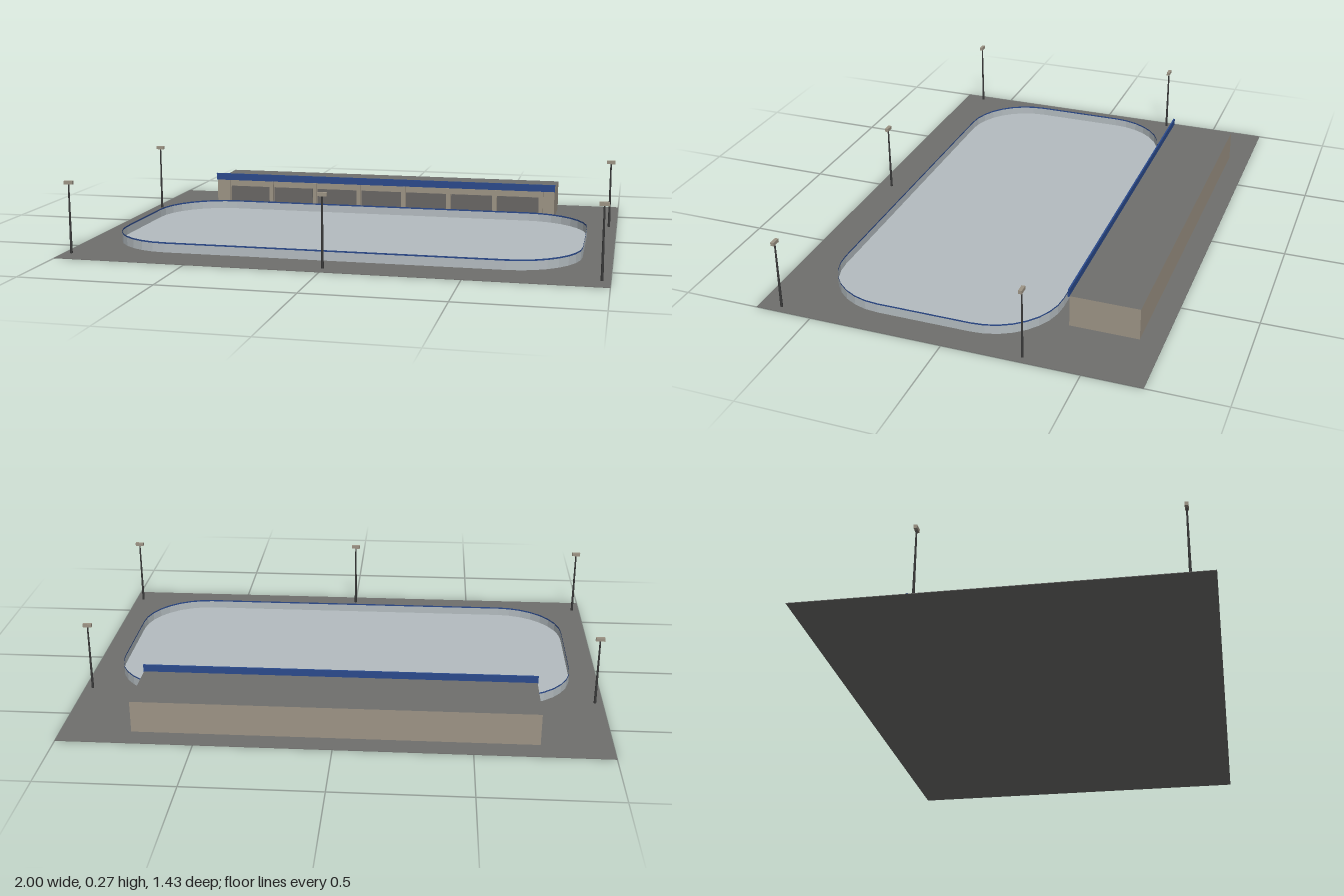
import * as THREE from 'three';

const mat = (name, color, side = THREE.FrontSide) =>
  Object.assign(new THREE.MeshStandardMaterial({ color, side }), { name });

export function createModel() {
  const asphalt = mat('asphalt grey', 0x6f6f6d);
  const ice = mat('pale ice', 0xb4bcc0, THREE.DoubleSide);
  const blue = mat('trim blue', 0x2b4a8c, THREE.DoubleSide);
  const tan = mat('tan wall', 0x9d9485);
  const glass = mat('opening grey', 0x696764);
  const steel = mat('dark steel', 0x3a3a3a);
  ice.flatShading = blue.flatShading = true;

  const model = new THREE.Group();
  model.name = 'iceRink';
  const add = (parent, name, geometry, material, x = 0, y = 0, z = 0) => {
    const mesh = new THREE.Mesh(geometry, material);
    mesh.name = name;
    mesh.position.set(x, y, z);
    parent.add(mesh);
    return mesh;
  };
  const box = (w, h, d) => new THREE.BoxGeometry(w, h, d);

  // Paved ground
  add(model, 'ground', box(2, 0.002, 1.43), asphalt, 0, 0.001, 0);

  // Rounded rink outline, centred on z = 0.113
  const hw = 0.89, hd = 0.433, r = 0.255, cz = 0.113;
  const outline = [];
  [[1, 1], [-1, 1], [-1, -1], [1, -1]].forEach(([sx, sz], q) => {
    for (let i = 0; i <= 8; i++) {
      const a = (q + i / 8) * Math.PI / 2;
      outline.push(new THREE.Vector2(sx * (hw - r) + r * Math.cos(a), sz * (hd - r) + r * Math.sin(a)));
    }
  });
  const surface = new THREE.ShapeGeometry(new THREE.Shape(outline));
  surface.rotateX(-Math.PI / 2);
  add(model, 'iceSurface', surface, ice, 0, 0.005, cz);

  // Upright sheet following the rink outline
  const band = (y0, y1) => {
    const pos = [], idx = [], n = outline.length;
    outline.forEach(p => pos.push(p.x, y0, -p.y, p.x, y1, -p.y));
    for (let i = 0; i < n; i++) {
      const a = 2 * i, b = 2 * ((i + 1) % n);
      idx.push(a, b, b + 1, a, b + 1, a + 1);
    }
    const g = new THREE.BufferGeometry();
    g.setAttribute('position', new THREE.Float32BufferAttribute(pos, 3));
    g.setIndex(idx);
    g.computeVertexNormals();
    return g;
  };
  add(model, 'rinkBoards', band(0.002, 0.035), ice, 0, 0, cz);
  add(model, 'boardTrim', band(0.035, 0.041), blue, 0, 0, cz);

  // Long pavilion behind the rink
  const pavilion = new THREE.Group();
  pavilion.name = 'pavilion';
  model.add(pavilion);
  const front = -0.375;
  add(pavilion, 'pavilionBody', box(1.48, 0.122, 0.255), [tan, tan, asphalt, tan, tan, tan], 0, 0.062, front - 0.1275);
  add(pavilion, 'fascia', box(1.485, 0.029, 0.006), blue, 0, 0.1355, front + 0.003);
  const step = 0.196;
  for (let i = 0; i < 8; i++) {
    const x = (i - 3.5) * step;
    add(pavilion, 'post', box(0.016, 0.119, 0.011), tan, x, 0.0615, front + 0.0065);
    if (i < 7) add(pavilion, 'opening', box(0.174, 0.085, 0.003), glass, x + step / 2, 0.0525, front + 0.001);
  }

  // Floodlights around the rink
  [[-0.97, -0.285], [0.97, -0.285], [-0.97, 0.63], [0.97, 0.63], [0, 0.66]].forEach(([x, z]) => {
    const light = new THREE.Group();
    light.name = 'floodlight';
    light.position.set(x, 0, z);
    model.add(light);
    add(light, 'pole', new THREE.CylinderGeometry(0.003, 0.005, 0.262, 8), steel, 0, 0.133, 0);
    add(light, 'lampHead', box(0.034, 0.013, 0.013), tan, 0, 0.268, 0);
  });

  return model;
}
